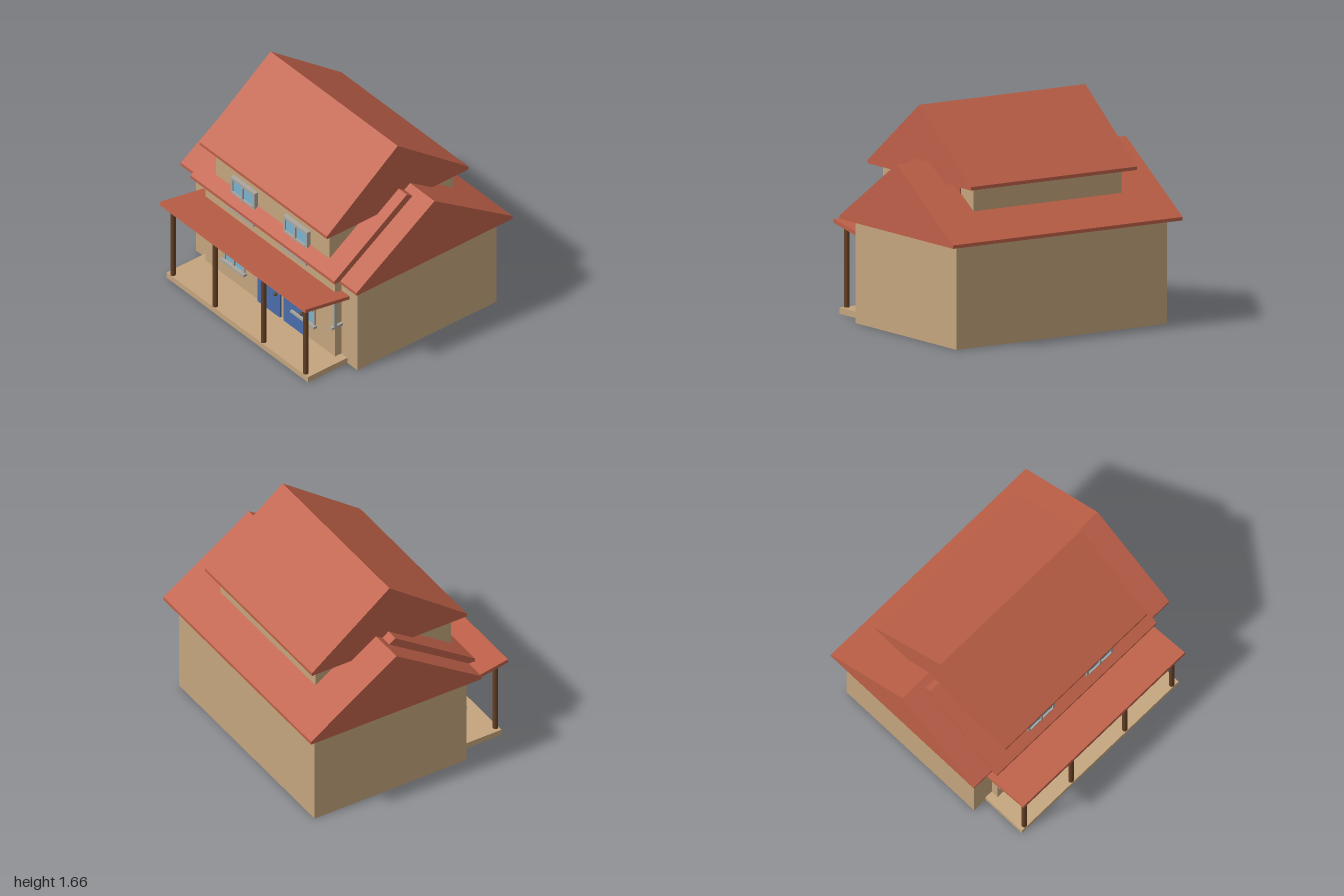
import * as THREE from 'three';

const mat = (name, color) => {
  const m = new THREE.MeshStandardMaterial({ color });
  m.name = name;
  return m;
};

export function createModel() {
  const house = new THREE.Group();
  house.name = 'house';
  const wall = mat('tan wall', 0xc4a57d);
  const roof = mat('terracotta roof', 0xbe6048);
  const wood = mat('brown wood', 0x644025);
  const blue = mat('blue door', 0x4a6dab);
  const glass = mat('window glass', 0x7ab4d2);
  const trim = mat('grey trim', 0xaaa69e);
  const metal = mat('dark knob', 0x54432f);

  const add = (name, geo, material, parent = house) => {
    const m = new THREE.Mesh(geo, material);
    m.name = name;
    parent.add(m);
    return m;
  };
  // box from its limits on each axis
  const box = (name, x0, x1, y0, y1, z0, z1, material, parent) => {
    const g = new THREE.BoxGeometry(x1 - x0, y1 - y0, z1 - z0);
    g.translate((x0 + x1) / 2, (y0 + y1) / 2, (z0 + z1) / 2);
    return add(name, g, material, parent);
  };
  // side profile of [z, y] points, extruded along x
  const prism = (name, x0, x1, points, material) => {
    const shape = new THREE.Shape(points.map(([z, y]) => new THREE.Vector2(-z, y)));
    const g = new THREE.ExtrudeGeometry(shape, { depth: x1 - x0, bevelEnabled: false });
    g.rotateY(Math.PI / 2);
    g.translate(x0, 0, 0);
    return add(name, g, material);
  };
  const gable = (name, x0, x1, front, back, eave, ridge) => prism(name, x0, x1, [
    [front, eave], [back, eave], [back, eave + 0.025],
    [(front + back) / 2, ridge], [front, eave + 0.025]], roof);

  // walls
  box('mainBody', -0.92, 0.915, 0, 0.765, -0.81, 0.48, wall);
  box('frontBay', -0.74, 0.735, 0, 0.79, 0.3, 0.54, wall);
  box('upperStorey', -0.645, 0.645, 0.765, 1.135, -0.63, 0.52, wall);

  // gabled roofs
  gable('mainRoof', -1, 1, 0.557, -0.89, 0.76, 1.268);
  gable('bayRoof', -0.82, 0.815, 0.613, -0.735, 0.78, 1.268);
  gable('upperRoof', -0.725, 0.722, 0.605, -0.71, 1.13, 1.658);
  box('roofInfill', -0.655, 0.655, 1.0, 1.132, -0.47, -0.25, roof);

  // porch
  box('porchFloor', -0.805, 0.802, 0, 0.047, 0.47, 0.847, wall);
  prism('porchRoof', -0.83, 0.825,
    [[0.475, 0.587], [0.475, 0.615], [0.887, 0.69], [0.892, 0.662]], roof);
  prism('doorAwning', -0.205, 0.205,
    [[0.53, 0.51], [0.53, 0.535], [0.703, 0.58], [0.708, 0.556]], roof);
  for (const x of [-0.758, -0.278, 0.272, 0.752]) {
    const post = add('porchPost', new THREE.CylinderGeometry(0.02, 0.02, 0.58, 16), wood);
    post.position.set(x, 0.335, 0.826);
  }

  // doors with knobs
  for (const x of [-0.002, 0.297]) {
    box('door', x - 0.128, x + 0.128, 0.047, 0.487, 0.53, 0.556, blue);
    const knob = add('doorKnob', new THREE.SphereGeometry(0.015, 12, 8), metal);
    knob.position.set(x + 0.093, 0.245, 0.57);
  }

  // framed window with glazing bars and a sill; z is the wall face
  const windowUnit = (name, cx, w, y0, y1, z, sillFront) => {
    const g = new THREE.Group();
    g.name = name;
    house.add(g);
    const x0 = cx - w / 2, x1 = cx + w / 2, t = 0.022, f = z + 0.013;
    const my = (y0 + y1) / 2;
    box('glass', x0 + t, x1 - t, y0, y1 - t, z - 0.01, z + 0.005, glass, g);
    box('frameLeft', x1 - t, x1, y0, y1, z - 0.01, f, trim, g);
    box('frameRight', x0, x0 + t, y0, y1, z - 0.01, f, trim, g);
    box('frameTop', x0 + t, x1 - t, y1 - t, y1, z - 0.01, f, trim, g);
    box('barUpright', cx - 0.008, cx + 0.008, y0, y1 - t, z, z + 0.019, trim, g);
    box('barAcross', x0 + t, x1 - t, my - 0.008, my + 0.008, z, z + 0.018, trim, g);
    box('sill', x0 - 0.013, x1 + 0.013, y0 - 0.02, y0, z - 0.01, sillFront, trim, g);
  };
  windowUnit('lowerWindowRight', -0.402, 0.24, 0.205, 0.448, 0.54, 0.573);
  windowUnit('lowerWindowLeft', 0.398, 0.24, 0.205, 0.448, 0.54, 0.573);
  windowUnit('middleWindow', -0.323, 0.295, 0.335, 0.595, 0.542, 0.587);
  for (const x of [-0.302, 0.295]) {
    // upper windows run down behind the bay eave
    windowUnit('upperWindow', x, 0.272, 0.73, 0.99, 0.541, 0.575);
    box('upperWindowBacking', x - 0.136, x + 0.136, 0.79, 0.99, 0.515, 0.535, trim);
  }

  // narrow trim on the sides of the bay
  for (const s of [-1, 1]) {
    const a = s > 0 ? 0.73 : -0.755, b = a + 0.025;
    box('sideSill', a, b, 0.315, 0.335, 0.481, 0.587, trim);
    box('sideFrame', a, b, 0.335, 0.59, 0.541, 0.56, trim);
  }
  return house;
}
